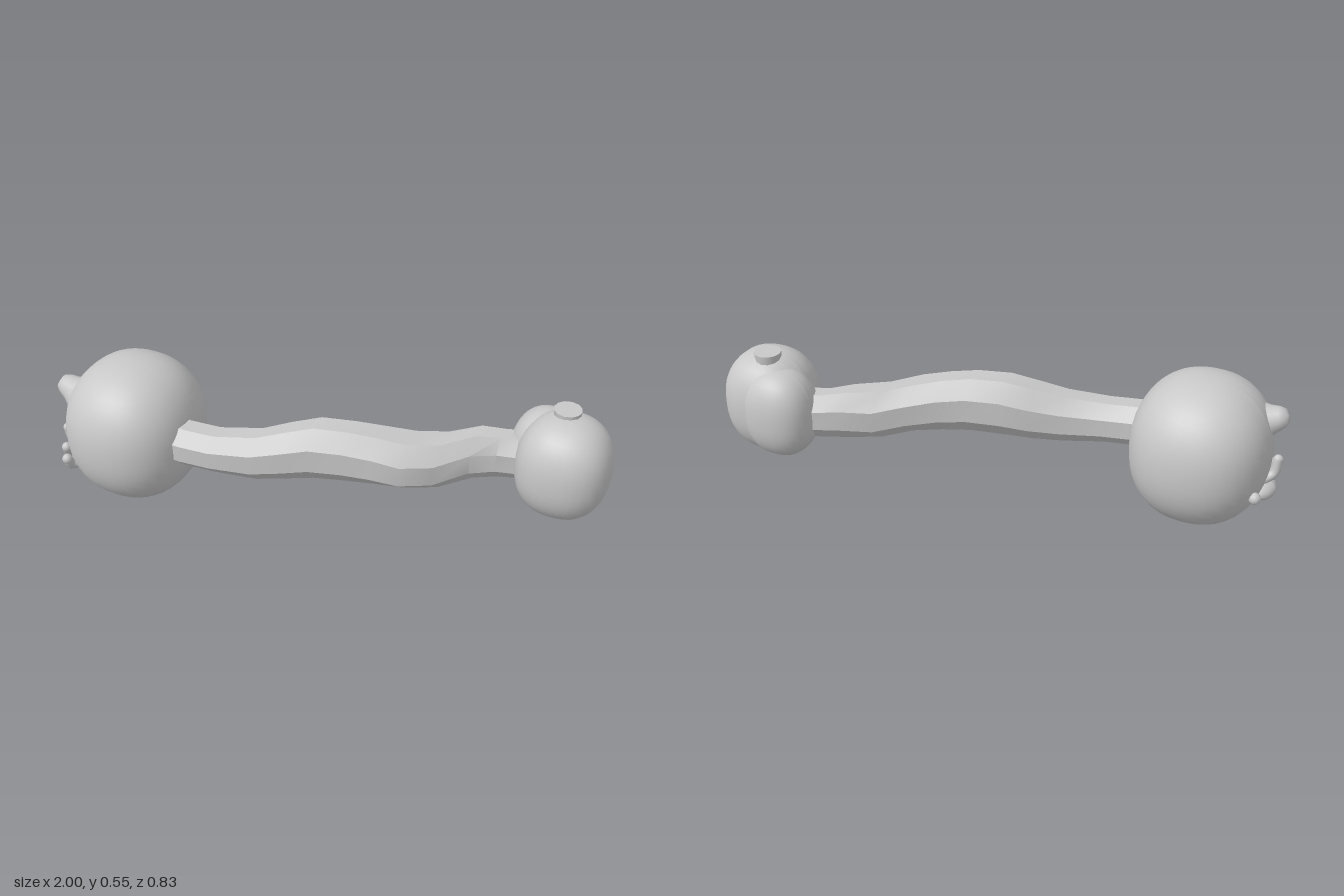
import * as THREE from 'three';
import { toCreasedNormals } from 'three/addons/utils/BufferGeometryUtils.js';

const clay = new THREE.MeshStandardMaterial({ color: 0xc8c8c8 });
clay.name = 'light grey';

function part(name, geometry, parent) {
  const mesh = new THREE.Mesh(geometry, clay);
  mesh.name = name;
  parent.add(mesh);
  return mesh;
}

// Rounded ball: a sphere pushed out to a squarer form, p = 2 is an ellipsoid
function ball(center, radii, p = 2, w = 32, h = 22) {
  const g = new THREE.SphereGeometry(1, w, h);
  const pos = g.attributes.position, v = new THREE.Vector3();
  for (let i = 0; i < pos.count; i++) {
    v.fromBufferAttribute(pos, i);
    const n = Math.pow(Math.abs(v.x) ** p + Math.abs(v.y) ** p + Math.abs(v.z) ** p, 1 / p);
    v.divideScalar(n);
    pos.setXYZ(i, center[0] + v.x * radii[0], center[1] + v.y * radii[1], center[2] + v.z * radii[2]);
  }
  g.computeVertexNormals();
  return g;
}

// Eight-sided loft along x; rows are [x, yLow, yHigh, zBack, zFront]
function loft(rows, sides = 8) {
  const pos = [], idx = [], k = 1 / Math.cos(Math.PI / sides);
  for (const [x, y0, y1, z0, z1] of rows) {
    for (let i = 0; i < sides; i++) {
      const a = ((i + 0.5) / sides) * Math.PI * 2;
      pos.push(x, (y0 + y1) / 2 + Math.cos(a) * k * (y1 - y0) / 2,
        (z0 + z1) / 2 + Math.sin(a) * k * (z1 - z0) / 2);
    }
  }
  for (let r = 0; r < rows.length - 1; r++) {
    for (let i = 0; i < sides; i++) {
      const a = r * sides + i, b = r * sides + (i + 1) % sides;
      idx.push(a, b, a + sides, b, b + sides, a + sides);
    }
  }
  const g = new THREE.BufferGeometry();
  g.setAttribute('position', new THREE.Float32BufferAttribute(pos, 3));
  g.setIndex(idx);
  // Orient faces outward
  const p = g.attributes.position, A = new THREE.Vector3(), B = new THREE.Vector3(), C = new THREE.Vector3();
  A.fromBufferAttribute(p, idx[0]); B.fromBufferAttribute(p, idx[1]); C.fromBufferAttribute(p, idx[2]);
  const out = A.clone().sub(new THREE.Vector3(A.x, (rows[0][1] + rows[0][2]) / 2, (rows[0][3] + rows[0][4]) / 2));
  if (B.sub(A).cross(C.sub(A)).dot(out) < 0) g.setIndex(idx.reverse());
  return toCreasedNormals(g, 0.6);
}

// Rounded finger between points
function finger(name, points, radius, parent) {
  const pts = points.map((q) => new THREE.Vector3(...q));
  part(name, new THREE.TubeGeometry(new THREE.CatmullRomCurve3(pts), 10, radius, 10), parent);
  part(name + 'Tip', ball(points[points.length - 1], [radius, radius, radius], 2, 10, 8), parent);
  part(name + 'Root', ball(points[0], [radius, radius, radius], 2, 10, 8), parent);
}

export function createModel() {
  const model = new THREE.Group();
  model.name = 'wavyBar';

  // Large ball
  const large = new THREE.Group();
  large.name = 'largeEnd';
  model.add(large);
  part('largeBall', ball([-0.714, 0.277, 0.152], [0.25, 0.275, 0.263], 2.25, 36, 26), large);

  // Nub and small fingers on its outer face
  const horn = new THREE.LatheGeometry([
    [0.095, 0], [0.07, 0.025], [0.05, 0.06], [0.04, 0.09], [0.028, 0.108], [0, 0.115],
  ].map(([r, y]) => new THREE.Vector2(r, y)), 16);
  const hornMesh = part('horn', horn, large);
  hornMesh.position.set(-0.89, 0.385, 0.215);
  hornMesh.rotation.z = 1.15;
  part('smallBump', ball([-0.945, 0.185, 0.035], [0.022, 0.022, 0.022], 2, 12, 8), large);
  finger('upperFinger', [[-0.94, 0.16, 0.21], [-0.967, 0.18, 0.23], [-0.975, 0.235, 0.24]], 0.018, large);
  finger('middleFinger', [[-0.93, 0.14, 0.24], [-0.955, 0.15, 0.275], [-0.95, 0.185, 0.295]], 0.019, large);
  finger('frontFinger', [[-0.89, 0.14, 0.27], [-0.92, 0.13, 0.315], [-0.922, 0.165, 0.335]], 0.02, large);
  part('fingerPad', ball([-0.925, 0.115, 0.225], [0.06, 0.04, 0.075], 2, 16, 12), large);

  // Wavy faceted shaft
  part('shaft', loft([
    [-0.56, 0.21, 0.375, 0.12, 0.27],
    [-0.46, 0.21, 0.37, 0.115, 0.27],
    [-0.35, 0.205, 0.365, 0.1, 0.255],
    [-0.2, 0.195, 0.38, 0.055, 0.22],
    [-0.1, 0.205, 0.41, 0.005, 0.19],
    [0, 0.217, 0.438, -0.03, 0.155],
    [0.12, 0.222, 0.438, -0.06, 0.125],
    [0.22, 0.22, 0.425, -0.1, 0.1],
    [0.32, 0.215, 0.405, -0.155, 0.08],
    [0.42, 0.2, 0.388, -0.22, 0.005],
    [0.52, 0.213, 0.4, -0.275, -0.1],
    [0.6, 0.213, 0.388, -0.3, -0.155],
    [0.7, 0.215, 0.385, -0.34, -0.18],
  ]), model);

  // Small ball with a bulge towards the back and the shaft
  const small = new THREE.Group();
  small.name = 'smallEnd';
  model.add(small);
  part('smallBall', ball([0.828, 0.318, -0.232], [0.17, 0.198, 0.162], 2.35), small);
  part('backBulge', ball([0.752, 0.312, -0.298], [0.137, 0.17, 0.119], 2.4), small);

  // Stub on top
  const stub = part('topStub', toCreasedNormals(new THREE.CylinderGeometry(0.05, 0.045, 0.05, 12), 0.6), small);
  stub.position.set(0.808, 0.504, -0.268);

  return model;
}
